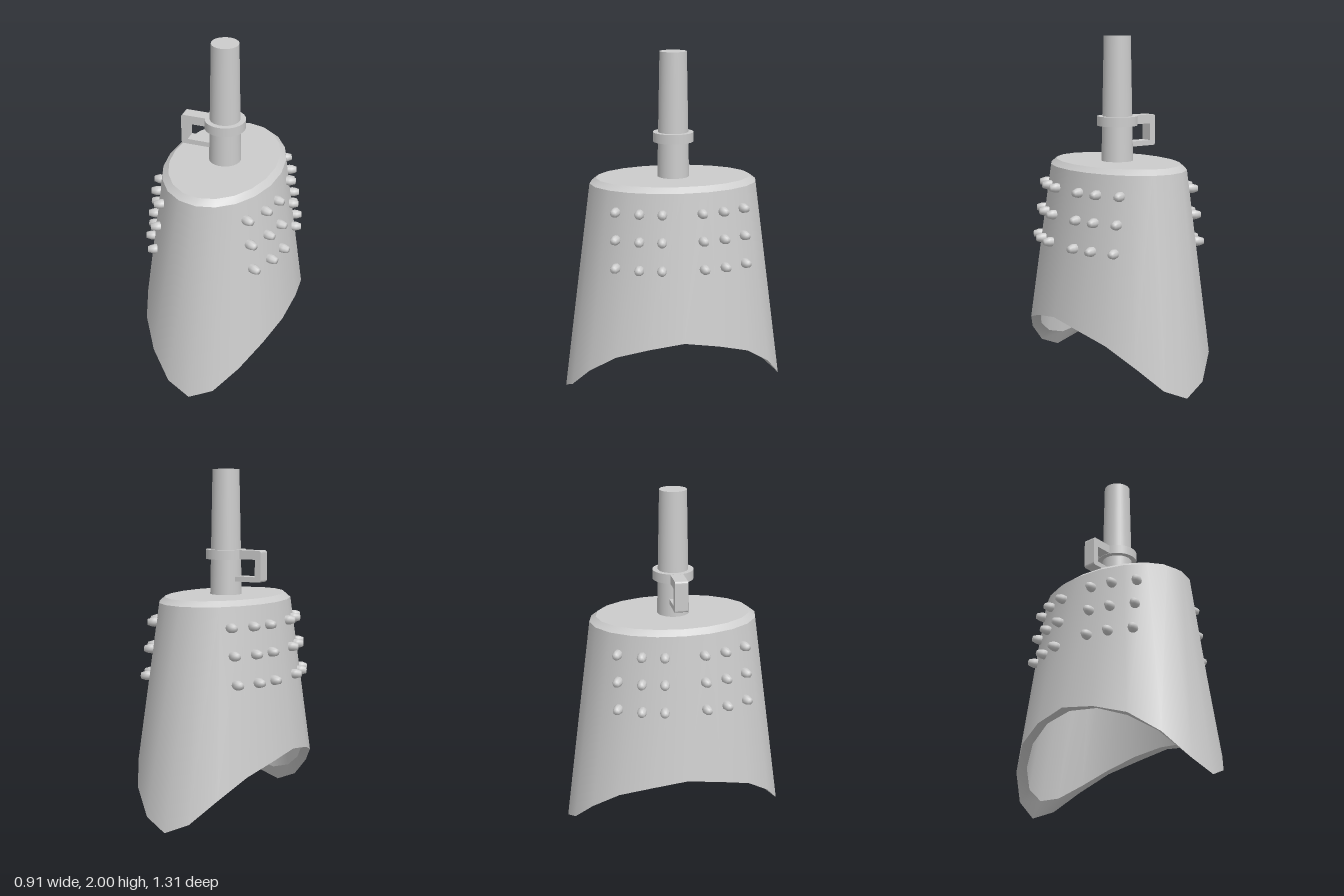
import * as THREE from 'three';
import { mergeGeometries } from 'three/addons/utils/BufferGeometryUtils.js';

const SIDES = 20;
const material = new THREE.MeshStandardMaterial({ color: 0xcccccc });

// Heights of the lower outer edge over a quarter, from side to tip
const EDGE = [0.403, 0.367, 0.307, 0.195, 0.065, 0.003];
const outerEdge = (z, i) => EDGE[Math.min(i % 10, 10 - (i % 10))];

// The inner edge follows a circular arch running along x
const innerEdge = (z) => Math.sqrt(0.736 ** 2 - z * z) - 0.336;

// Elliptical ring of points, its height given by a rule
function ring(rx, rz, height) {
  return Array.from({ length: SIDES }, (_, i) => {
    const a = (i / SIDES) * Math.PI * 2;
    const z = rz * Math.sin(a);
    return new THREE.Vector3(rx * Math.cos(a), height(z, i), z);
  });
}

// Smooth band between two rings
function band(from, to) {
  const geometry = new THREE.BufferGeometry().setFromPoints([...from, ...to]);
  const index = [];
  for (let i = 0; i < SIDES; i++) {
    const j = (i + 1) % SIDES;
    index.push(i, SIDES + i, j, j, SIDES + i, SIDES + j);
  }
  geometry.setIndex(index);
  geometry.computeVertexNormals();
  return geometry;
}

function addMesh(parent, name, geometry) {
  const mesh = new THREE.Mesh(geometry, material);
  mesh.name = name;
  parent.add(mesh);
  return mesh;
}

export function createModel() {
  const model = new THREE.Group();
  model.name = 'studdedBell';

  // Hollow thick-walled body: outer wall, bevel, top, ceiling, inner wall and rim
  const rings = [
    ring(0.455, 0.655, outerEdge),
    ring(0.34, 0.49, () => 1.247),
    ring(0.305, 0.452, () => 1.277),
    ring(0, 0, () => 1.277),
    ring(0, 0, () => 1.22),
    ring(0.283, 0.432, () => 1.22),
    ring(0.397, 0.595, innerEdge),
    ring(0.455, 0.655, outerEdge),
  ];
  const bands = [];
  for (let i = 0; i < rings.length - 1; i++) {
    if (i !== 3) bands.push(band(rings[i], rings[i + 1]));
  }
  addMesh(model, 'body', mergeGeometries(bands));

  // Tapered handle and its collar
  addMesh(model, 'handle', new THREE.CylinderGeometry(0.078, 0.093, 0.74, 40)).position.y = 1.63;
  addMesh(model, 'collar', new THREE.CylinderGeometry(0.118, 0.118, 0.055, 40)).position.y = 1.51;

  // Square loop on the right of the handle, with rounded outer corners
  const outline = new THREE.Shape();
  outline.moveTo(-0.07, 1.355);
  outline.lineTo(-0.238, 1.355);
  outline.quadraticCurveTo(-0.253, 1.355, -0.253, 1.37);
  outline.lineTo(-0.253, 1.522);
  outline.quadraticCurveTo(-0.253, 1.537, -0.238, 1.537);
  outline.lineTo(-0.07, 1.537);
  const hole = new THREE.Path();
  [[-0.08, 1.385], [-0.08, 1.485], [-0.215, 1.485], [-0.215, 1.385]]
    .forEach(([x, y], i) => (i ? hole.lineTo(x, y) : hole.moveTo(x, y)));
  outline.holes.push(hole);
  const loop = new THREE.ExtrudeGeometry(outline, { depth: 0.074, bevelEnabled: false, curveSegments: 8 });
  addMesh(model, 'hangingLoop', loop.translate(0, 0, -0.037));

  // Three rows of bulging, blunt-tipped studs, three in each quarter
  const studs = new THREE.Group();
  studs.name = 'studs';
  model.add(studs);
  const profile = [[0.024, -0.025], [0.028, 0.005], [0.027, 0.02], [0.018, 0.047], [0, 0.049]]
    .map(([r, h]) => new THREE.Vector2(r, h));
  const studShape = new THREE.LatheGeometry(profile, 10).rotateZ(-Math.PI / 2);
  for (const y of [1.132, 0.977, 0.818]) {
    const t = (1.25 - y) / 0.85;
    const rx = 0.34 + 0.115 * t;
    const rz = 0.49 + 0.115 * t;
    [[0.112, 11], [0.236, 17], [0.362, 25]].forEach(([z0, degrees]) => {
      const z = z0 + (1.132 - y) * 0.025;
      const x = rx * Math.sqrt(1 - (z / rz) ** 2);
      const a = THREE.MathUtils.degToRad(degrees);
      for (const sx of [-1, 1]) {
        for (const sz of [-1, 1]) {
          const stud = addMesh(studs, 'stud', studShape);
          stud.position.set(sx * x, y, sz * z);
          stud.rotation.y = Math.atan2(-sz * Math.sin(a), sx * Math.cos(a));
        }
      }
    });
  }
  return model;
}
